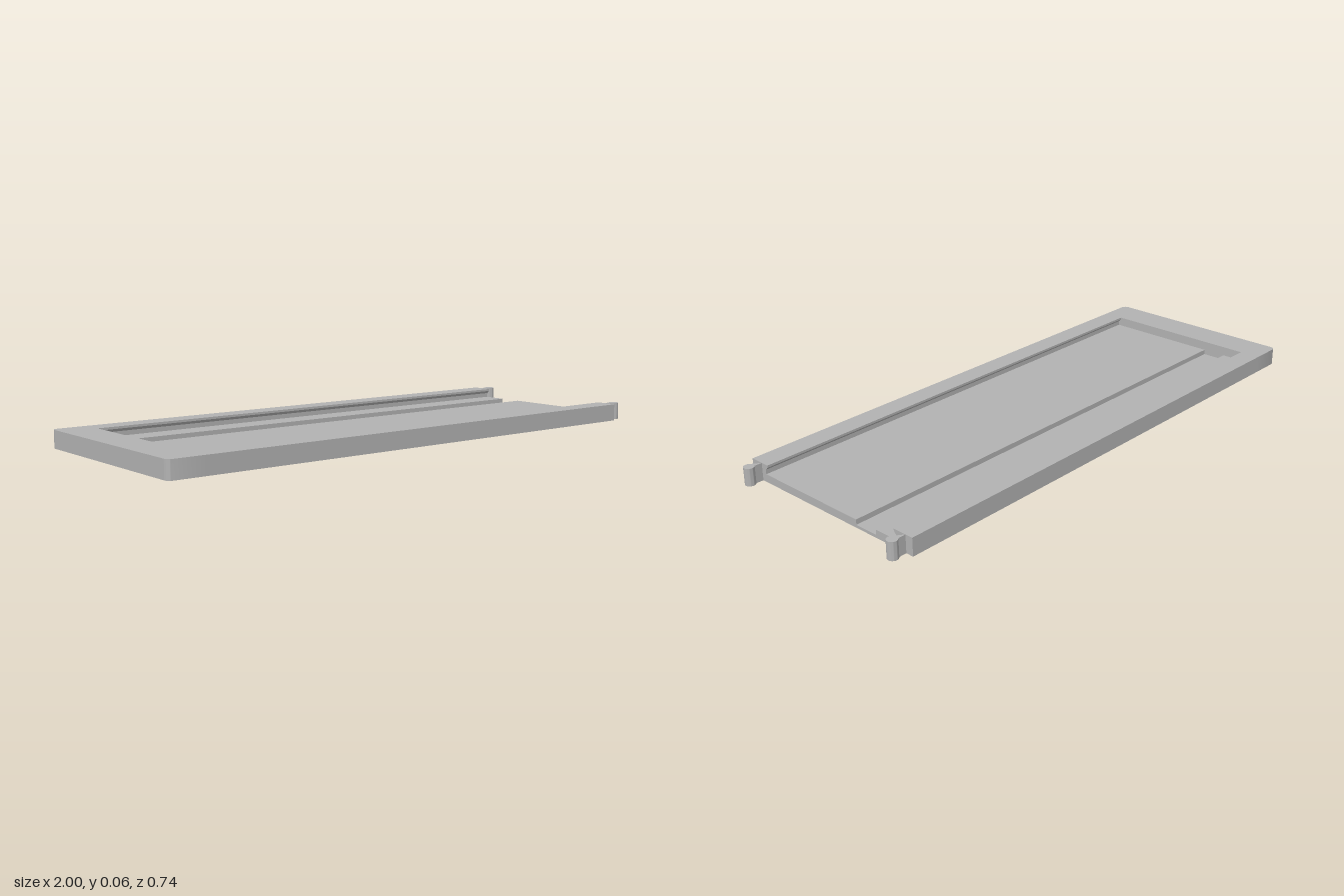
import * as THREE from 'three';
import { toCreasedNormals } from 'three/addons/utils/BufferGeometryUtils.js';

const H = 0.062;       // overall height
const W = 0.372;       // half width
const X0 = -1, X1 = -0.875, X2 = 0.94; // closed end, recess start, open end

// Extrude a plan outline (x, -z) upwards
function upright(shape) {
  const g = new THREE.ExtrudeGeometry(shape, { depth: H, bevelEnabled: false, curveSegments: 16 });
  return toCreasedNormals(g.rotateX(-Math.PI / 2), 0.6);
}

export function createModel() {
  const model = new THREE.Group();
  const grey = new THREE.MeshStandardMaterial({ color: 0xb2b2b2 });
  grey.name = 'grey plastic';
  const add = (name, geometry) => {
    const mesh = new THREE.Mesh(geometry, grey);
    mesh.name = name;
    model.add(mesh);
    return mesh;
  };

  // Tray cross-section as (z, y): undercut side rails, floor and offset groove
  const profile = [
    [W, 0], [W, H], [0.295, H], [0.295, 0.054], [0.305, 0.044], [0.305, 0.028],
    [-0.128, 0.028], [-0.128, 0.01], [-0.216, 0.01], [-0.216, 0.028],
    [-0.305, 0.028], [-0.305, 0.044], [-0.295, 0.054], [-0.295, H], [-W, H], [-W, 0],
  ];
  const section = new THREE.Shape(profile.map(([z, y]) => new THREE.Vector2(-z, y)));
  const tray = new THREE.ExtrudeGeometry(section, { depth: X2 - X1, bevelEnabled: false });
  add('tray', tray.rotateY(Math.PI / 2).translate(X1, 0, 0));

  // Closed end with rounded outer corners
  const r = 0.02;
  const end = new THREE.Shape();
  end.moveTo(X1, -W);
  end.lineTo(X1, W);
  end.lineTo(X0 + r, W);
  end.absarc(X0 + r, W - r, r, Math.PI / 2, Math.PI, false);
  end.lineTo(X0, -W + r);
  end.absarc(X0 + r, -W + r, r, Math.PI, Math.PI * 1.5, false);
  add('closedEnd', upright(end));

  // Round-headed connector clips on the open end
  const headR = 0.018, neck = 0.01, cx = 1 - headR;
  const a = Math.PI - Math.asin(neck / headR);
  for (const side of [1, -1]) {
    const clip = new THREE.Shape();
    clip.moveTo(X2, -neck);
    clip.absarc(cx, 0, headR, -a, a, false);
    clip.lineTo(X2, neck);
    add(side > 0 ? 'frontClip' : 'backClip', upright(clip)).position.z = side * 0.334;
  }
  return model;
}
